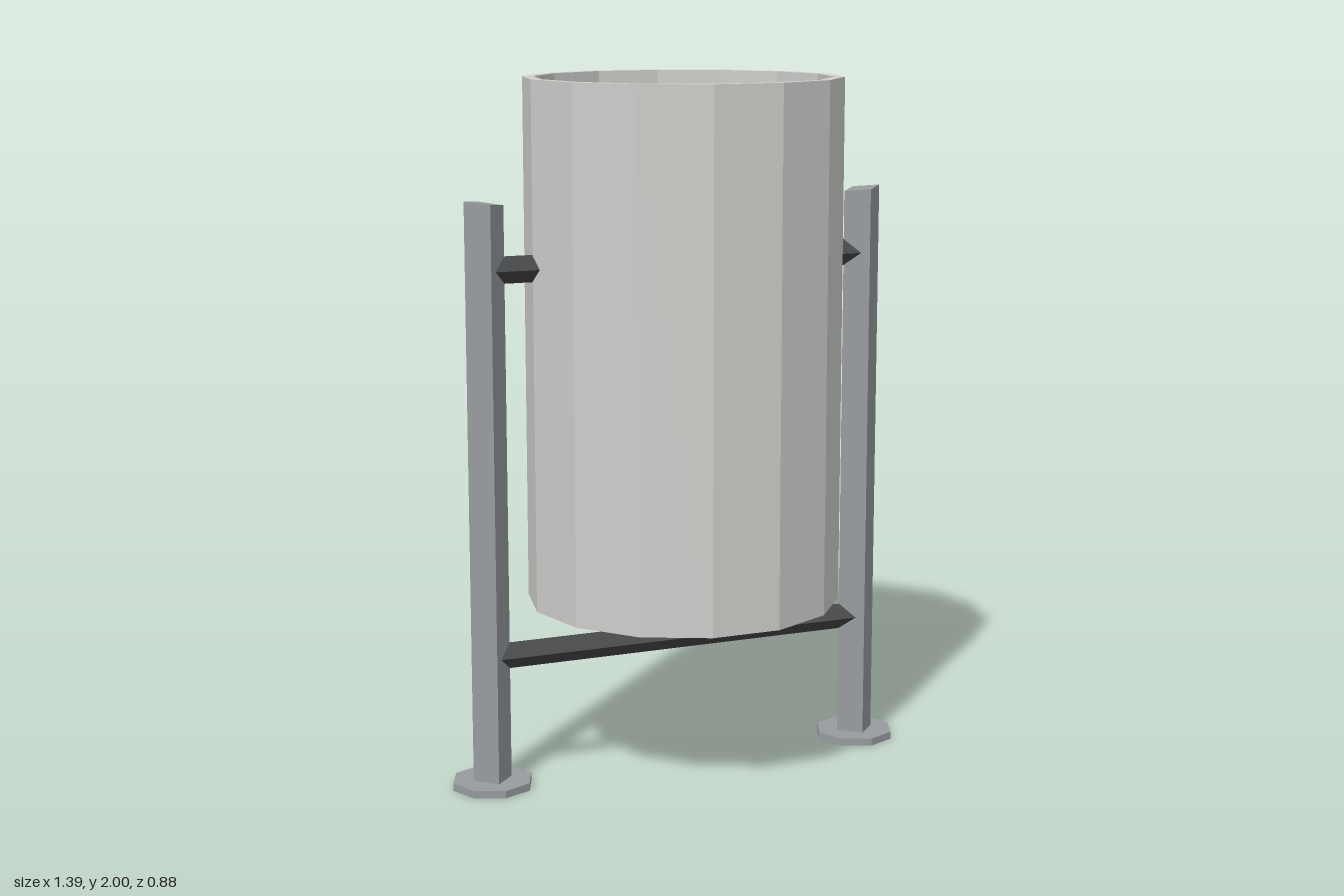
import * as THREE from 'three';

export function createModel() {
  const group = new THREE.Group();
  const material = (name, color) => {
    const m = new THREE.MeshStandardMaterial({ color, flatShading: true });
    m.name = name;
    return m;
  };
  const binGrey = material('light grey', 0xcfcecb);
  const postGrey = material('steel grey', 0x979c9f);
  const barDark = material('dark grey', 0x444547);

  const add = (name, geometry, mat, x, y, z) => {
    const mesh = new THREE.Mesh(geometry, mat);
    mesh.name = name;
    mesh.position.set(x, y, z);
    group.add(mesh);
    return mesh;
  };

  // Open fourteen-sided bin with wall thickness and a floor
  const profile = [[0, 0.5], [0.452, 0.5], [0.452, 2], [0.42, 2], [0.42, 0.53], [0, 0.53]]
    .map(([r, y]) => new THREE.Vector2(r, y));
  const bin = new THREE.LatheGeometry(profile, 14).rotateY(Math.PI / 2);
  add('bin', bin, binGrey, 0.008, 0, 0);

  for (const side of [-1, 1]) {
    const label = side > 0 ? 'left' : 'right';
    const x = side * 0.58 - 0.003;

    // Diamond-section post whose top slopes down towards the bin
    const post = new THREE.CylinderGeometry(0.057, 0.057, 1.668, 4).translate(0, 0.834, 0);
    const p = post.attributes.position;
    for (let i = 0; i < p.count; i++) {
      if (p.getY(i) > 1) p.setY(i, 1.668 + side * p.getX(i) * 0.13);
    }
    add(label + 'Post', post, postGrey, x, 0, -0.003);

    // Octagonal foot plate
    add(label + 'Foot', new THREE.CylinderGeometry(0.117, 0.117, 0.022, 8), postGrey, x, 0.011, -0.004);
  }

  // Diamond-section bars: the pivot runs through the bin, the brace below it
  for (const [name, y] of [['pivotBar', 1.482], ['lowerBar', 0.381]]) {
    const bar = new THREE.CylinderGeometry(0.038, 0.038, 1.15, 4).rotateZ(Math.PI / 2);
    add(name, bar, barDark, -0.003, y, -0.003);
  }
  return group;
}
